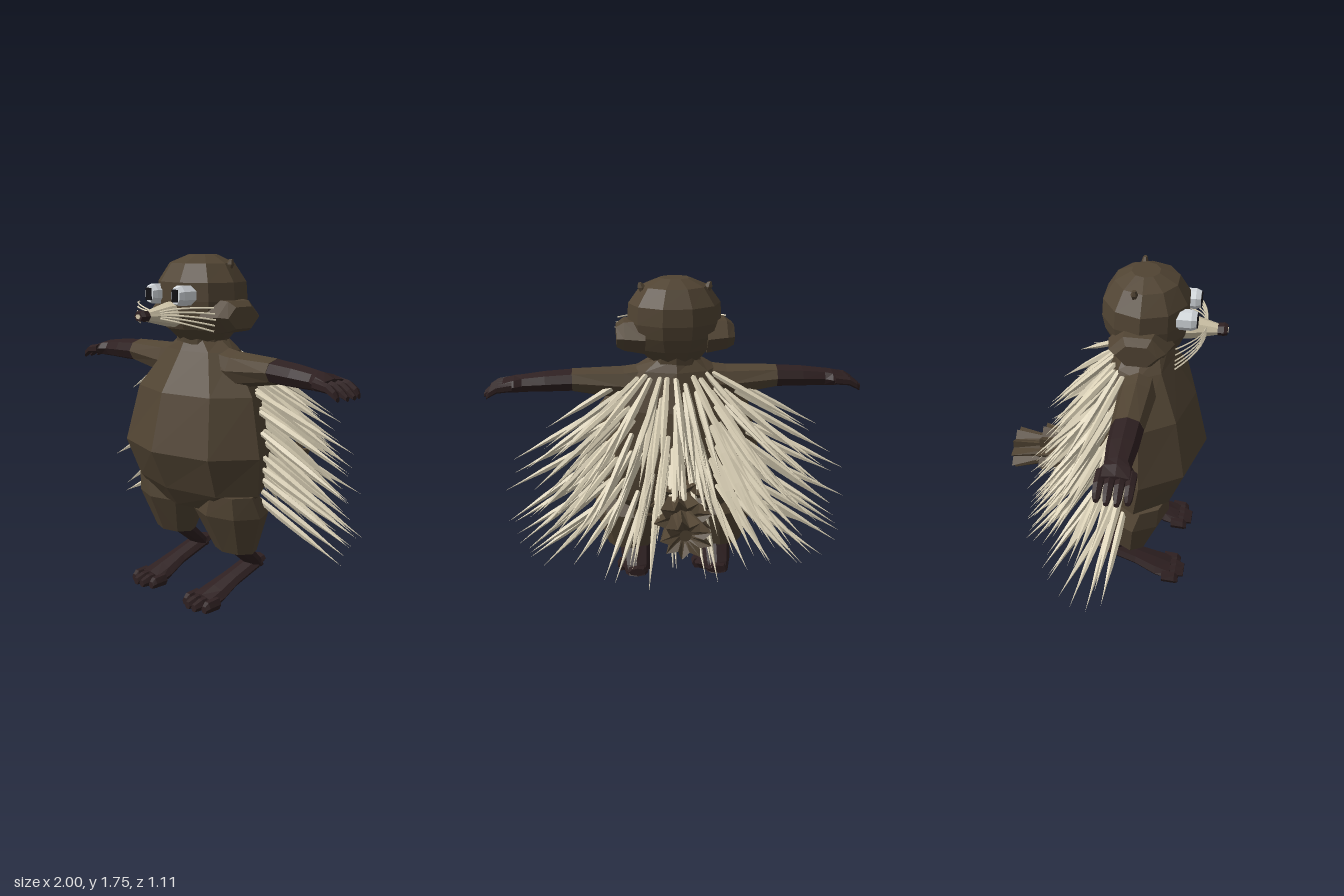
import * as THREE from 'three';
import { mergeGeometries } from 'three/addons/utils/BufferGeometryUtils.js';

const mat = (name, color) => {
  const m = new THREE.MeshStandardMaterial({ color });
  m.name = name;
  return m;
};

// Flat-faced loft through rings [x, y, z, a, b, star] stacked along one axis.
// Radii: axis y -> a:x b:z, axis x -> a:z b:y, axis z -> a:y b:x. turn is in steps.
const AXES = { x: [2, 0, 1], y: [0, 1, 2], z: [1, 2, 0] };
function loft(axis, rings, n = 8, turn = 0) {
  const [ia, ax, ib] = AXES[axis];
  const reversed = rings[1][ax] < rings[0][ax];
  const pts = rings.map(([x, y, z, a, b, star = 0]) => {
    const ring = [];
    for (let i = 0; i < n; i++) {
      const t = ((i + turn) / n) * Math.PI * 2, k = i % 2 ? 1 - star : 1;
      const p = [x, y, z];
      p[ia] += Math.sin(t) * a * k;
      p[ib] += Math.cos(t) * b * k;
      ring.push(p);
    }
    return ring;
  });
  const pos = [];
  const tri = (a, b, c) => (reversed ? pos.push(...a, ...c, ...b) : pos.push(...a, ...b, ...c));
  const last = rings.length - 1;
  for (let i = 0; i < n; i++) {
    const j = (i + 1) % n;
    for (let r = 0; r < last; r++) {
      tri(pts[r][i], pts[r][j], pts[r + 1][j]);
      tri(pts[r][i], pts[r + 1][j], pts[r + 1][i]);
    }
    tri(pts[0][j], pts[0][i], rings[0].slice(0, 3));
    tri(pts[last][i], pts[last][j], rings[last].slice(0, 3));
  }
  const g = new THREE.BufferGeometry();
  g.setAttribute('position', new THREE.Float32BufferAttribute(pos, 3));
  g.computeVertexNormals();
  return g;
}

// Mirrored copy across x with face order restored
function mirror(geo) {
  const g = geo.index ? geo.toNonIndexed() : geo.clone();
  g.scale(-1, 1, 1);
  for (const key of Object.keys(g.attributes)) {
    const { array, itemSize: s } = g.attributes[key];
    for (let t = 0; t < array.length; t += s * 3)
      for (let k = 0; k < s; k++) {
        const v = array[t + s + k];
        array[t + s + k] = array[t + 2 * s + k];
        array[t + 2 * s + k] = v;
      }
  }
  g.computeVertexNormals();
  return g;
}

// Rings: height, half width, front z, back z
const TORSO = [
  [0.49, 0.28, 0.33, 0.0], [0.59, 0.43, 0.4, -0.07], [0.79, 0.47, 0.49, -0.1],
  [1.08, 0.4, 0.42, -0.06], [1.28, 0.23, 0.3, 0.0], [1.34, 0.13, 0.27, 0.03],
];
const HEAD = [
  [1.33, 0.14, 0.27, 0.03], [1.39, 0.2, 0.335, -0.01], [1.46, 0.235, 0.365, -0.045], [1.53, 0.245, 0.37, -0.06],
  [1.62, 0.24, 0.37, -0.055], [1.71, 0.175, 0.315, 0.0], [1.75, 0.08, 0.22, 0.08],
];
const upright = (rows) => rows.map(([y, w, f, b]) => [0, y, (f + b) / 2, w, (f - b) / 2]);

function torsoAt(y) {
  const i = Math.max(1, TORSO.findIndex((r) => r[0] >= y));
  const k = (y - TORSO[i - 1][0]) / (TORSO[i][0] - TORSO[i - 1][0]);
  return TORSO[i].map((v, c) => THREE.MathUtils.lerp(TORSO[i - 1][c], v, k));
}

// Quills fan from the back, hanging steeply in the middle and spreading at the sides
function quills() {
  let seed = 7;
  const rand = () => (seed = (seed * 16807) % 2147483647) / 2147483647;
  const jitter = (s) => (rand() - 0.5) * s;
  const list = [], up = new THREE.Vector3(0, 1, 0);
  for (let row = 0; row < 9; row++) {
    const count = row > 6 ? 13 : 16;
    for (let i = 0; i < count; i++) {
      const u = ((i + 0.5 + jitter(0.8)) / count) * 2 - 1;
      const side = Math.abs(u), a = u * 1.32;
      const y = 0.74 + row * 0.064 - side * 0.2 * (1 - row / 8) + jitter(0.05);
      const [, w, f, b] = torsoAt(y);
      const d = a * 1.1 + jitter(0.25);
      const h = 0.32 + 0.2 * side + jitter(0.1);
      const dir = new THREE.Vector3(
        Math.sin(d) * h, -0.42 + 0.17 * side + jitter(0.1), -Math.cos(d) * h);
      const len = dir.length();
      const q = new THREE.LatheGeometry(
        [[0, 0], [0.014, 0.01], [0.019, len * 0.3], [0.015, len * 0.6], [0.005, len * 0.82], [0, len]]
          .map((p) => new THREE.Vector2(...p)), 5).toNonIndexed();
      q.applyQuaternion(new THREE.Quaternion().setFromUnitVectors(up, dir.normalize()));
      q.translate(Math.sin(a) * w * 0.92, y, (f + b) / 2 - Math.cos(a) * (f - b) * 0.46);
      q.computeVertexNormals();
      list.push(q);
    }
  }
  return mergeGeometries(list);
}

export function createModel() {
  const model = new THREE.Group();
  model.name = 'porcupine';
  const fur = mat('brown fur', 0x514433);
  const skin = mat('dark skin', 0x2e2021);
  const quill = mat('cream quill', 0xdad0b6);
  const muzzle = mat('pale muzzle', 0xcfc4a8);
  const white = mat('eye white', 0xd5dade);
  const black = mat('pupil black', 0x121014);

  const add = (name, geo, m) => {
    const mesh = new THREE.Mesh(geo, m);
    mesh.name = name;
    model.add(mesh);
  };
  const pair = (name, geo, m) => {
    add(name + 'Left', geo, m);
    add(name + 'Right', mirror(geo), m);
  };

  add('torso', loft('y', upright(TORSO), 8), fur);
  add('neck', loft('y', [[0, 1.28, 0.15, 0.14, 0.13], [0, 1.38, 0.15, 0.14, 0.13]], 10), fur);
  add('head', loft('y', upright(HEAD), 10, 0.5), fur);
  add('quills', quills(), quill);

  // Face
  pair('cheek', loft('x', [[0.16, 1.455, 0.155, 0.16, 0.1], [0.265, 1.46, 0.15, 0.135, 0.085],
    [0.305, 1.455, 0.15, 0.1, 0.06]], 6, 0.5), fur);
  pair('ear', loft('y', [[0.155, 1.67, 0.12, 0.018, 0.015], [0.17, 1.705, 0.12, 0.024, 0.018],
    [0.178, 1.73, 0.12, 0.012, 0.01]], 6), fur);
  pair('eye', loft('z', [[0.105, 1.56, 0.31, 0.052, 0.045], [0.105, 1.56, 0.385, 0.052, 0.045],
    [0.105, 1.56, 0.41, 0.042, 0.036]], 8, 0.5), white);
  pair('pupil', new THREE.BoxGeometry(0.044, 0.06, 0.009).translate(0.105, 1.56, 0.411), black);
  add('snout', loft('z', [[0, 1.465, 0.3, 0.07, 0.075], [0, 1.465, 0.39, 0.058, 0.06],
    [0, 1.462, 0.515, 0.024, 0.03]], 8), muzzle);
  add('nose', loft('z', [[0, 1.463, 0.505, 0.028, 0.038], [0, 1.465, 0.535, 0.03, 0.042],
    [0, 1.463, 0.553, 0.024, 0.032]], 6), skin);
  add('noseTip', loft('z', [[0, 1.463, 0.55, 0.013, 0.018], [0, 1.463, 0.556, 0.013, 0.018]], 6), muzzle);
  for (let i = 0; i < 5; i++) {
    const k = i / 4 - 0.5;
    const curve = new THREE.QuadraticBezierCurve3(
      new THREE.Vector3(0.03, 1.465 + k * 0.03, 0.45),
      new THREE.Vector3(0.18, 1.48 + k * 0.07, 0.45),
      new THREE.Vector3(0.31 - 0.03 * Math.abs(k), 1.455 + k * 0.11, 0.33));
    pair('whisker', new THREE.TubeGeometry(curve, 6, 0.0045, 4), quill);
  }

  // Arms and hands
  pair('upperArm', loft('x', [[0.12, 1.21, 0.15, 0.095, 0.1], [0.27, 1.2, 0.15, 0.092, 0.09],
    [0.54, 1.22, 0.15, 0.08, 0.062]]), fur);
  pair('forearm', loft('x', [[0.54, 1.22, 0.15, 0.078, 0.06], [0.68, 1.215, 0.15, 0.074, 0.056],
    [0.8, 1.208, 0.15, 0.062, 0.048], [0.84, 1.205, 0.152, 0.084, 0.045], [0.9, 1.2, 0.155, 0.088, 0.03]]), skin);
  for (let i = 0; i < 4; i++) {
    const z = 0.085 + i * 0.046, end = i === 0 || i === 3 ? 0.985 : 1;
    pair('finger', loft('x', [[0.85, 1.205, z, 0.024, 0.026], [0.93, 1.195, z, 0.024, 0.023],
      [0.97, 1.172, z, 0.021, 0.02], [end, 1.155, z, 0.012, 0.012]], 6), skin);
  }

  // Legs and feet
  pair('thigh', loft('y', [[0.245, 0.275, 0.145, 0.125, 0.09], [0.23, 0.48, 0.165, 0.215, 0.165],
    [0.255, 0.59, 0.2, 0.17, 0.125]]), fur);
  pair('shin', loft('y', [[0.222, 0.15, -0.005, 0.06, 0.042], [0.222, 0.2, 0.04, 0.075, 0.055],
    [0.225, 0.3, 0.15, 0.088, 0.07]]), skin);
  pair('foot', loft('z', [[0.22, 0.178, -0.05, 0.022, 0.045], [0.22, 0.165, 0.0, 0.036, 0.062],
    [0.22, 0.105, 0.16, 0.036, 0.066], [0.218, 0.055, 0.27, 0.045, 0.085], [0.218, 0.035, 0.35, 0.033, 0.092]]), skin);
  for (let i = 0; i < 4; i++) {
    const x = 0.144 + i * 0.05, end = i === 0 || i === 3 ? 0.4 : 0.425;
    pair('toe', loft('z', [[x, 0.037, 0.31, 0.034, 0.028], [x, 0.032, 0.38, 0.031, 0.028],
      [x, 0.023, end, 0.02, 0.02]], 6), skin);
  }

  // Tail of overlapping flared tufts with jagged, hollow ends
  [[-0.03, -0.22, 0.16, 0.655], [-0.16, -0.4, 0.15, 0.635], [-0.34, -0.55, 0.13, 0.61]].forEach(([z0, z1, r, y], i) => {
    add('tailTuft' + (i + 1), loft('z', [[0, y, z0, 0.07, 0.07, 0.1], [0, y - 0.012, z1, r * 0.8, r, 0.36],
      [0, y - 0.01, z1 + 0.05, 0.03, 0.03]], 18), fur);
  });
  return model;
}
